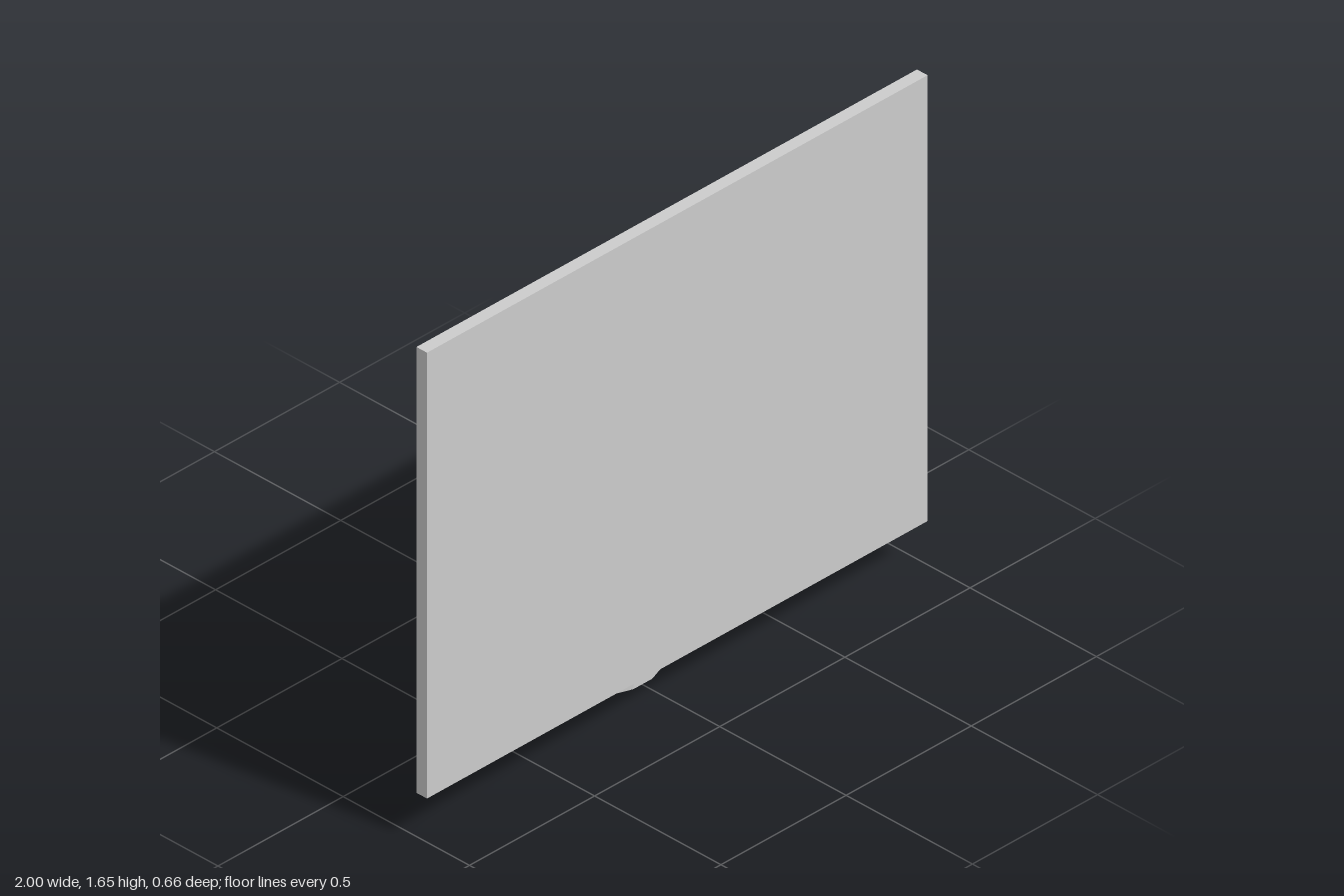
import * as THREE from 'three';

const SIDES = 18;

export function createModel() {
  const model = new THREE.Group();
  model.name = 'basketballHoop';
  const grey = new THREE.MeshStandardMaterial({ color: 0xcccccc, flatShading: true });
  const thin = new THREE.MeshStandardMaterial({ color: 0xcccccc, flatShading: true, side: THREE.DoubleSide });

  const add = (name, geometry, material, x, y, z) => {
    const mesh = new THREE.Mesh(geometry, material);
    mesh.name = name;
    mesh.position.set(x, y, z);
    model.add(mesh);
    return mesh;
  };

  // Flat rectangular board
  add('backboard', new THREE.BoxGeometry(2, 1.5, 0.042), grey, 0, 0.897, 0.311);

  // Ring just touching the board
  const rim = new THREE.TorusGeometry(0.298, 0.0145, 8, SIDES).rotateX(-Math.PI / 2);
  add('rim', rim, grey, 0.003, 0.385, -0.022);

  // Open net: straight sleeve below, flaring up to the rim
  const profile = [[0.218, 0], [0.218, 0.147], [0.29, 0.385]].map(([r, y]) => new THREE.Vector2(r, y));
  add('net', new THREE.LatheGeometry(profile, SIDES, Math.PI / 2), thin, 0.003, 0, -0.022);

  return model;
}
